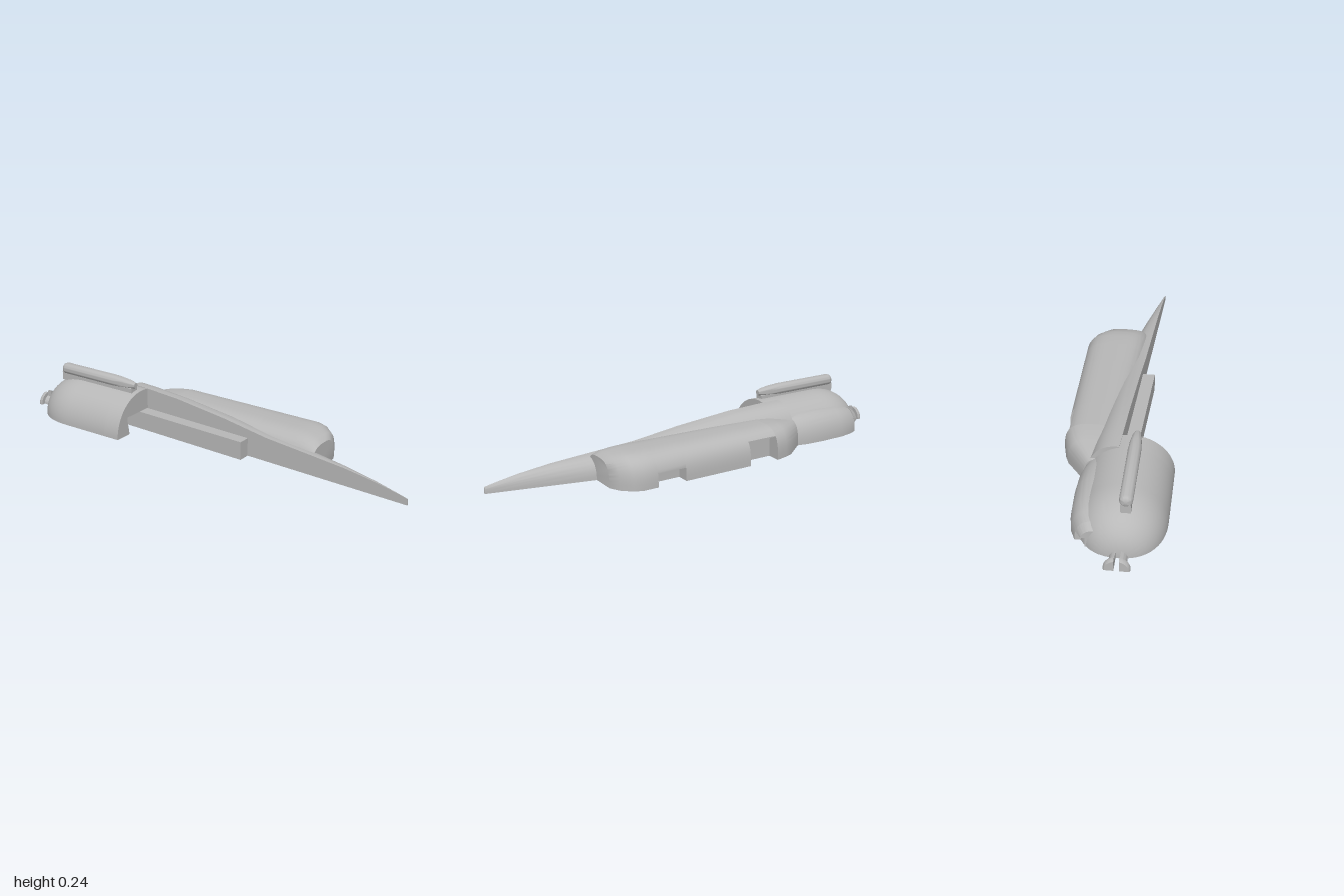
import * as THREE from 'three';
import { toCreasedNormals } from 'three/addons/utils/BufferGeometryUtils.js';

const grey = new THREE.MeshStandardMaterial({ color: 0xb8b8b8 });
grey.name = 'hull grey';

// Arched cross-section as [z, y] points from -z over the top to +z.
// notch = { z, h } cuts the lower -z corner inward to z, up to height h.
function arch(zMin, zMax, height, power, notch) {
  const pts = [], n = 40, c = (zMin + zMax) / 2, w = (zMax - zMin) / 2;
  let below = !!notch;
  for (let i = 0; i <= n; i++) {
    const t = Math.PI * i / n, k = Math.cos(t);
    let z = c - w * Math.sign(k) * Math.abs(k) ** (2 / power);
    const y = height * Math.max(0, Math.sin(t)) ** (2 / power);
    if (below && y >= notch.h) {
      pts.push([notch.z, notch.h], [z, notch.h - 0.0005]);
      below = false;
    }
    if (below) z = Math.max(z, notch.z);
    pts.push([z, i === n ? 0 : y]);
  }
  return pts;
}

// Closed solid through sections of the form [x, points], x increasing.
function loft(sections, crease = 0.6) {
  const pos = [], n = sections[0][1].length;
  const at = (s, i) => {
    const [x, pts] = sections[s], p = pts[i % n];
    return [x, p[1], p[0]];
  };
  for (let s = 0; s < sections.length - 1; s++)
    for (let i = 0; i < n; i++) {
      const a = at(s, i), b = at(s, i + 1), c = at(s + 1, i), d = at(s + 1, i + 1);
      pos.push(...a, ...b, ...c, ...b, ...d, ...c);
    }
  for (const s of [0, sections.length - 1]) {
    const flat = sections[s][1].map(([z, y]) => new THREE.Vector2(z, y));
    for (const [i, j, k] of THREE.ShapeUtils.triangulateShape(flat, [])) {
      const a = at(s, i), b = at(s, j), c = at(s, k);
      const facing = (b[1] - a[1]) * (c[2] - a[2]) - (b[2] - a[2]) * (c[1] - a[1]);
      if ((facing > 0) === (s > 0)) pos.push(...a, ...b, ...c);
      else pos.push(...a, ...c, ...b);
    }
  }
  const g = new THREE.BufferGeometry();
  g.setAttribute('position', new THREE.Float32BufferAttribute(pos, 3));
  return toCreasedNormals(g, crease);
}

export function createModel() {
  const model = new THREE.Group();
  const add = (name, geometry) => {
    const m = new THREE.Mesh(geometry, grey);
    m.name = name;
    model.add(m);
    return m;
  };

  // Main pod: half-round body with a blunt nose
  const R = 0.187, cz = 0.06;
  const podArch = r => arch(cz - r, cz + r, r, 2);
  const nose = [];
  for (let i = 0; i <= 14; i++) {
    const u = 1 - Math.cos((i / 14) * Math.PI / 2);
    const r = R * Math.max(0.0005, 1 - (1 - u) ** 2.3) ** (1 / 2.3);
    nose.push([-0.93 + 0.23 * u, podArch(r)]);
  }
  nose.push([-0.47, podArch(R)]);
  add('mainPod', loft(nose));

  // Rear of the pod with a recess in its underside
  const rear = [...podArch(R), [0.16, 0], [0.175, 0.087], [0.02, 0.087], [0.02, 0]];
  add('podRear', loft([[-0.47, rear], [-0.387, rear]]));

  // Smaller side pod with an intake cut
  const intake = { z: -0.075, h: 0.045 };
  add('sidePodIntake', loft([
    [-0.88, arch(-0.1, 0.02, 0.085, 2.3, intake)],
    [-0.845, arch(-0.122, 0.03, 0.105, 2.3, intake)]]));
  add('sidePod', loft([[-0.845, -0.122, 0.105], [-0.8, -0.142, 0.12], [-0.74, -0.153, 0.131],
    [-0.62, -0.157, 0.135], [-0.53, -0.152, 0.133], [-0.45, -0.135, 0.122]]
    .map(([x, z, h]) => [x, arch(z, 0.05, h, 2.3)])));

  // Long tapering spine: flat front face, rounded back
  const spine = [[-0.47, -0.125, 0.186], [-0.38, -0.12, 0.184], [-0.2, -0.1, 0.175], [0.07, -0.08, 0.146],
    [0.3, -0.06, 0.112], [0.53, -0.03, 0.094], [0.7, 0.01, 0.08], [0.85, 0.045, 0.06],
    [0.95, 0.068, 0.041], [1, 0.08, 0.03]].map(([x, back, h]) => {
    const front = 0.02 + (x + 0.38) * 0.0478, pts = [];
    for (let i = 0; i <= 16; i++) {
      const t = (i / 16) * Math.PI / 2;
      pts.push([front - (front - back) * Math.max(0, Math.cos(t)) ** 0.8, h * Math.sin(t) ** 0.8]);
    }
    return [x, [...pts, [front, 0]]];
  });
  add('spine', loft(spine));

  // Ledge along the front of the spine
  const ledge = (z0, z1) => [[z0, 0], [z0, 0.085], [z1, 0.085], [z1, 0]];
  add('ledge', loft([[-0.47, ledge(0.0, 0.074)], [0.2, ledge(0.03, 0.104)]]));

  // Broad side fairing, built in runs so that two bays can be cut in its edge
  const frontZ = x => 0.012 + Math.max(0, x + 0.38) * 0.043;
  const full = (x, notch) => [x, arch(-0.25, frontZ(x), 0.145, 3, notch)];
  const shaped = ([x, z, h]) => [x, arch(z, frontZ(x), h, 3)];
  const bayFront = { z: -0.185, h: 0.105 }, bayRear = { z: -0.19, h: 0.06 };
  add('fairingFront', loft([...[[-0.48, -0.14, 0.115], [-0.38, -0.22, 0.135],
    [-0.34, -0.236, 0.141]].map(shaped), full(-0.28)]));
  add('fairingFrontBay', loft([full(-0.28, bayFront), full(-0.13, bayFront)]));
  add('fairingMiddle', loft([full(-0.13), full(0.21)]));
  add('fairingRearBay', loft([full(0.21, bayRear), full(0.35, bayRear)]));
  add('fairingRear', loft([full(0.35), full(0.42), ...[[0.46, -0.235, 0.141],
    [0.505, -0.195, 0.13], [0.53, -0.145, 0.112]].map(shaped)]));

  // Slotted, flanged fitting on the nose: two mirrored halves
  const segment = (r, side) => {
    const pts = [], start = Math.acos(0.011 / r);
    for (let i = 0; i <= 12; i++) {
      const t = start * i / 12;
      pts.push([0.066 + side * r * Math.cos(t), r * Math.sin(t)]);
    }
    pts.push([0.066 + side * 0.011, 0]);
    return side > 0 ? pts.reverse() : pts;
  };
  for (const side of [-1, 1]) {
    add('noseFlange', loft([[-1, segment(0.05, side)], [-0.992, segment(0.055, side)],
      [-0.98, segment(0.055, side)]]));
    add('noseShaft', loft([[-0.98, segment(0.037, side)], [-0.89, segment(0.037, side)]]));
  }

  // Tube on top with a tapered end, on its pedestal
  const profile = [[0, -0.845], [0.016, -0.844], [0.024, -0.838], [0.028, -0.825], [0.028, -0.52],
    [0.025, -0.47], [0.019, -0.425], [0.012, -0.403], [0, -0.403]];
  const tube = add('topTube', toCreasedNormals(
    new THREE.LatheGeometry(profile.map(p => new THREE.Vector2(...p)), 32), 0.7));
  tube.rotation.z = -Math.PI / 2;
  tube.position.set(0, 0.215, 0.085);
  const pedestal = add('tubePedestal', new THREE.BoxGeometry(0.43, 0.04, 0.042));
  pedestal.position.set(-0.627, 0.182, 0.085);

  return model;
}
